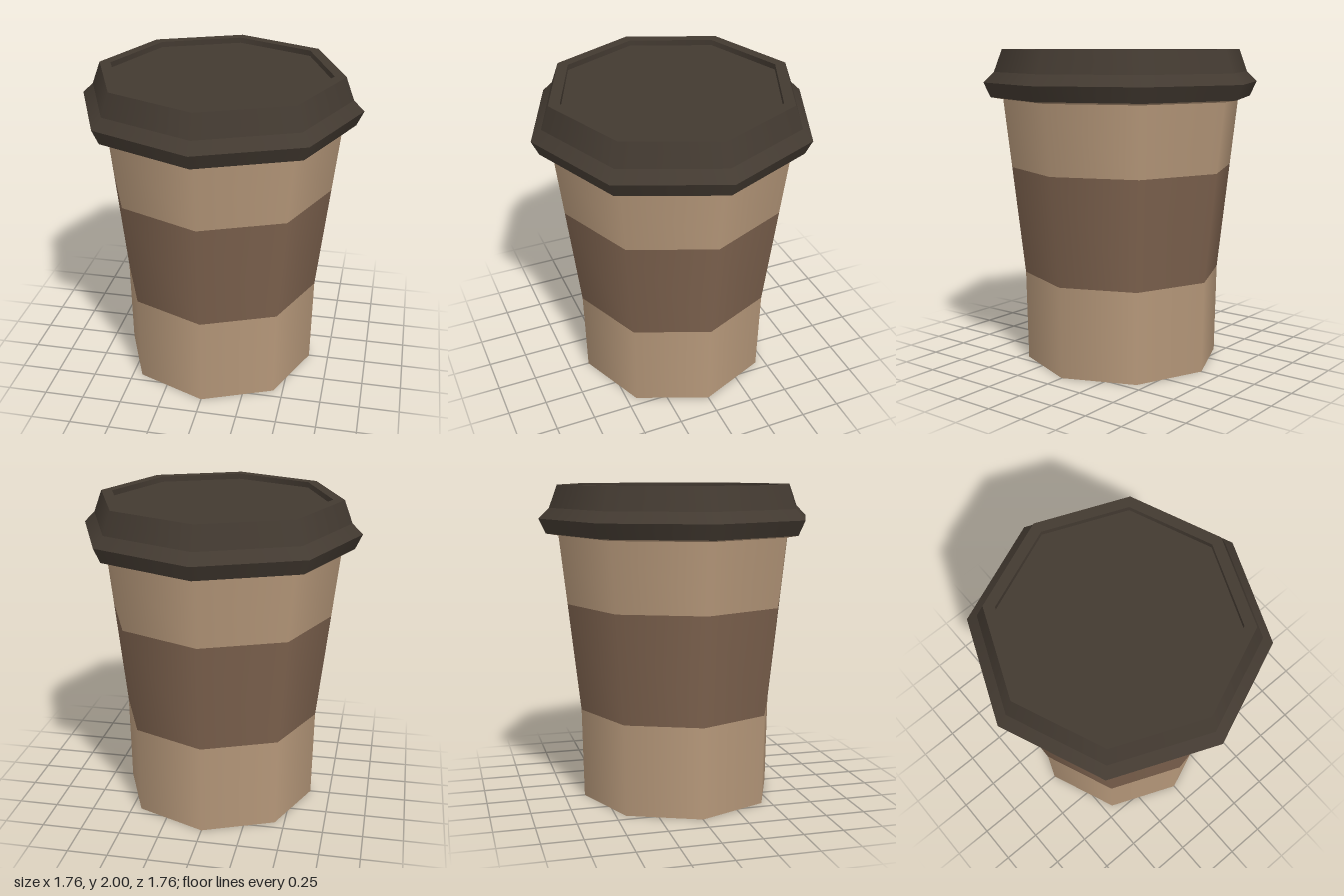
import * as THREE from 'three';
import { mergeGeometries } from 'three/addons/utils/BufferGeometryUtils.js';

const SIDES = 8;

// Octagonal shell, smooth around the axis with a crisp edge at every profile point
function shell(name, profile, material) {
  const bands = [];
  for (let i = 0; i < profile.length - 1; i++) {
    const pair = [profile[i], profile[i + 1]].map(([r, y]) => new THREE.Vector2(r, y));
    bands.push(new THREE.LatheGeometry(pair, SIDES));
  }
  const mesh = new THREE.Mesh(mergeGeometries(bands), material);
  mesh.name = name;
  return mesh;
}

function paint(name, color) {
  const material = new THREE.MeshStandardMaterial({ color });
  material.name = name;
  return material;
}

export function createModel() {
  const tan = paint('tan card', 0xb6987a);
  const brown = paint('brown sleeve', 0x7d624e);
  const dark = paint('dark lid', 0x433a31);

  const cup = new THREE.Group();
  cup.name = 'takeawayCup';

  // Profiles run from the underside outwards and upwards
  cup.add(
    shell('cupBase', [[0, 0], [0.622, 0], [0.633, 0.575]], tan),
    shell('sleeve', [[0.633, 0.575], [0.709, 1.26]], brown),
    shell('cupTop', [[0.709, 1.26], [0.757, 1.69]], tan),
    // Pale ledge under the lid
    shell('rim', [[0.757, 1.69], [0.835, 1.703]], tan),
    // Lid with a flared skirt, a raised rim and a shallow recessed top
    shell('lid', [
      [0.835, 1.703], [0.878, 1.795], [0.812, 1.86], [0.76, 2],
      [0.69, 2], [0.69, 1.965], [0, 1.965],
    ], dark),
  );
  return cup;
}
